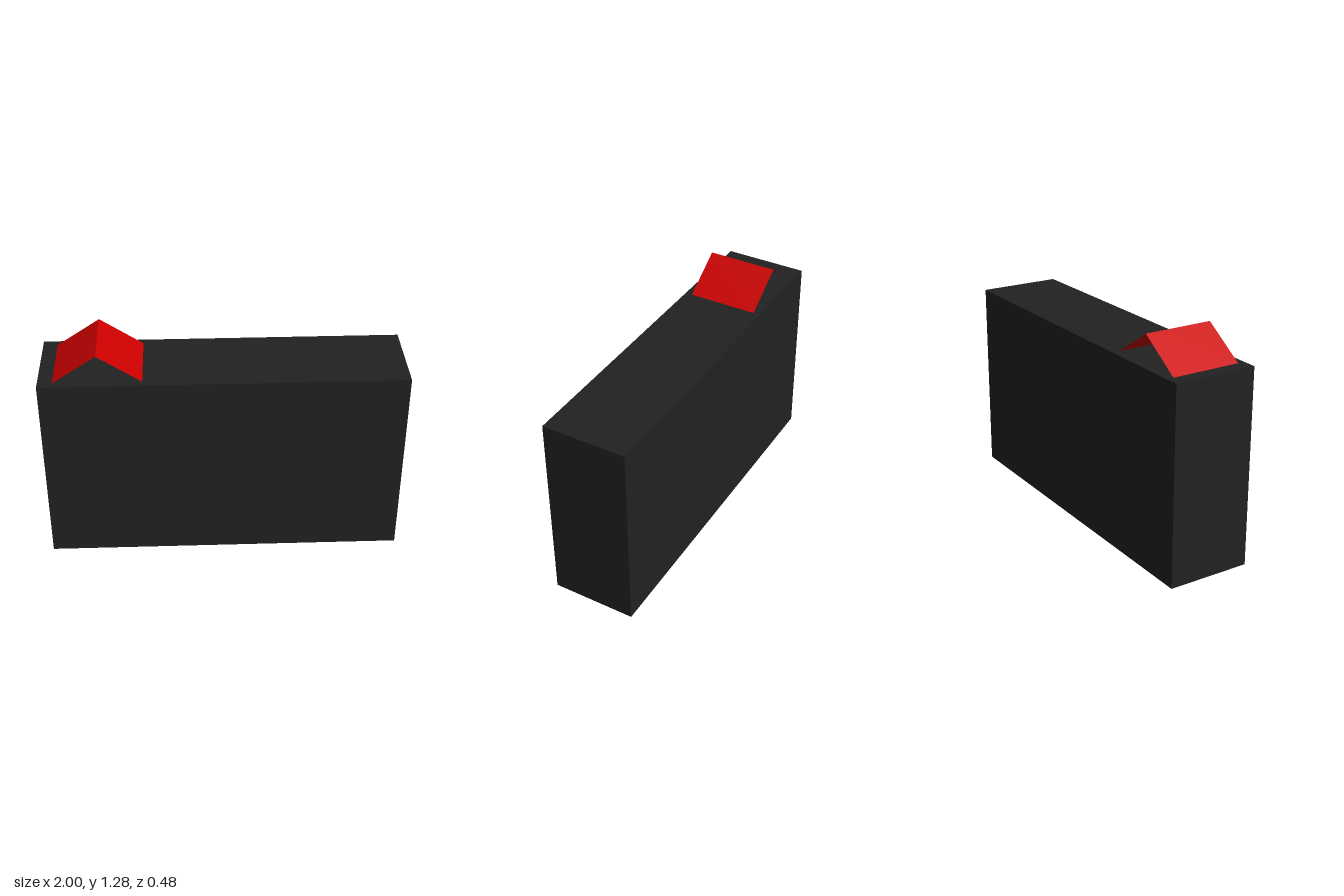
import * as THREE from 'three';

export function createModel() {
  const group = new THREE.Group();
  const bodyHeight = 1.12;

  // Solid rectangular body
  const body = new THREE.Mesh(
    new THREE.BoxGeometry(2, bodyHeight, 0.48),
    new THREE.MeshStandardMaterial({ color: 0x222222 })
  );
  body.name = 'body';
  body.position.y = bodyHeight / 2;
  group.add(body);

  // Open-ended tent of two thin sloping panels on top
  const red = new THREE.MeshStandardMaterial({ color: 0xcc0000, side: THREE.DoubleSide });
  const run = 0.24, rise = 0.16, depth = 0.4;
  const tent = new THREE.Group();
  tent.name = 'roofTent';
  tent.position.set(-0.68, bodyHeight, 0);
  for (const side of [-1, 1]) {
    const geometry = new THREE.PlaneGeometry(Math.hypot(run, rise), depth);
    geometry.rotateX(-Math.PI / 2);
    geometry.rotateZ(-side * Math.atan2(rise, run));
    geometry.translate(side * run / 2, rise / 2, 0);
    const panel = new THREE.Mesh(geometry, red);
    panel.name = side > 0 ? 'leftRoofPanel' : 'rightRoofPanel';
    tent.add(panel);
  }
  group.add(tent);

  return group;
}
